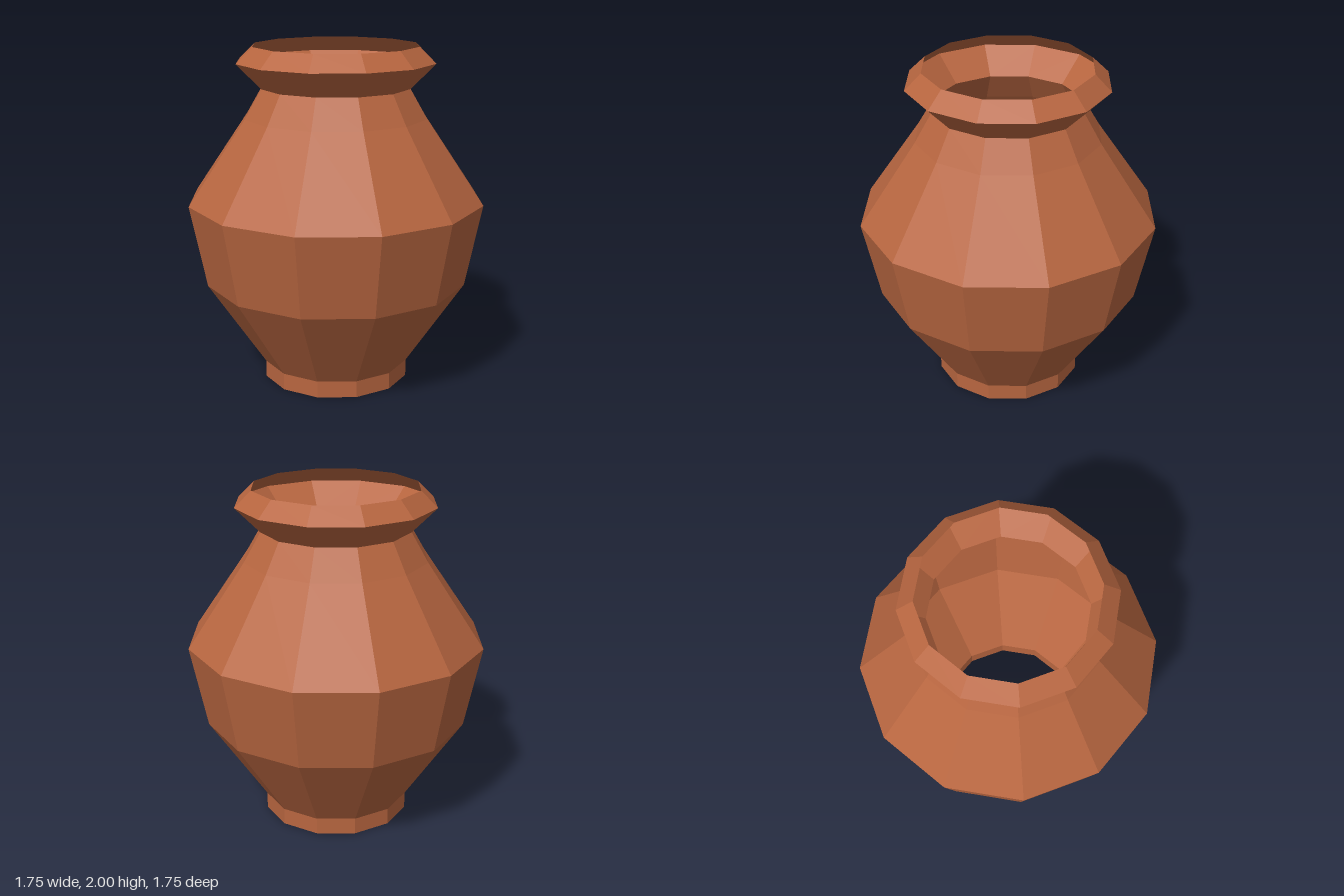
import * as THREE from 'three';

const SIDES = 12;

// Open shell, so both sides of the thin wall show
const clay = new THREE.MeshStandardMaterial({
  color: 0xb86640,
  flatShading: true,
  side: THREE.DoubleSide,
});

// One turned section from [radius, height] pairs, listed bottom to top
function turned(name, profile) {
  const points = profile.map(([r, y]) => new THREE.Vector2(r, y));
  const mesh = new THREE.Mesh(new THREE.LatheGeometry(points, SIDES), clay);
  mesh.name = name;
  return mesh;
}

export function createModel() {
  const pot = new THREE.Group();
  pot.name = 'clayPot';

  pot.add(
    // Straight foot ring, open underneath
    turned('foot', [[0.44, 0], [0.44, 0.1]]),
    // Flaring lower body up to the widest point
    turned('belly', [[0.44, 0.1], [0.78, 0.613], [0.877, 1.1]]),
    // Shoulder narrowing to the neck
    turned('shoulder', [[0.877, 1.1], [0.54, 1.59], [0.44, 1.76]]),
    // Flared collar with an inturned lip
    turned('rim', [[0.44, 1.76], [0.584, 1.907], [0.488, 2]]),
  );
  return pot;
}
